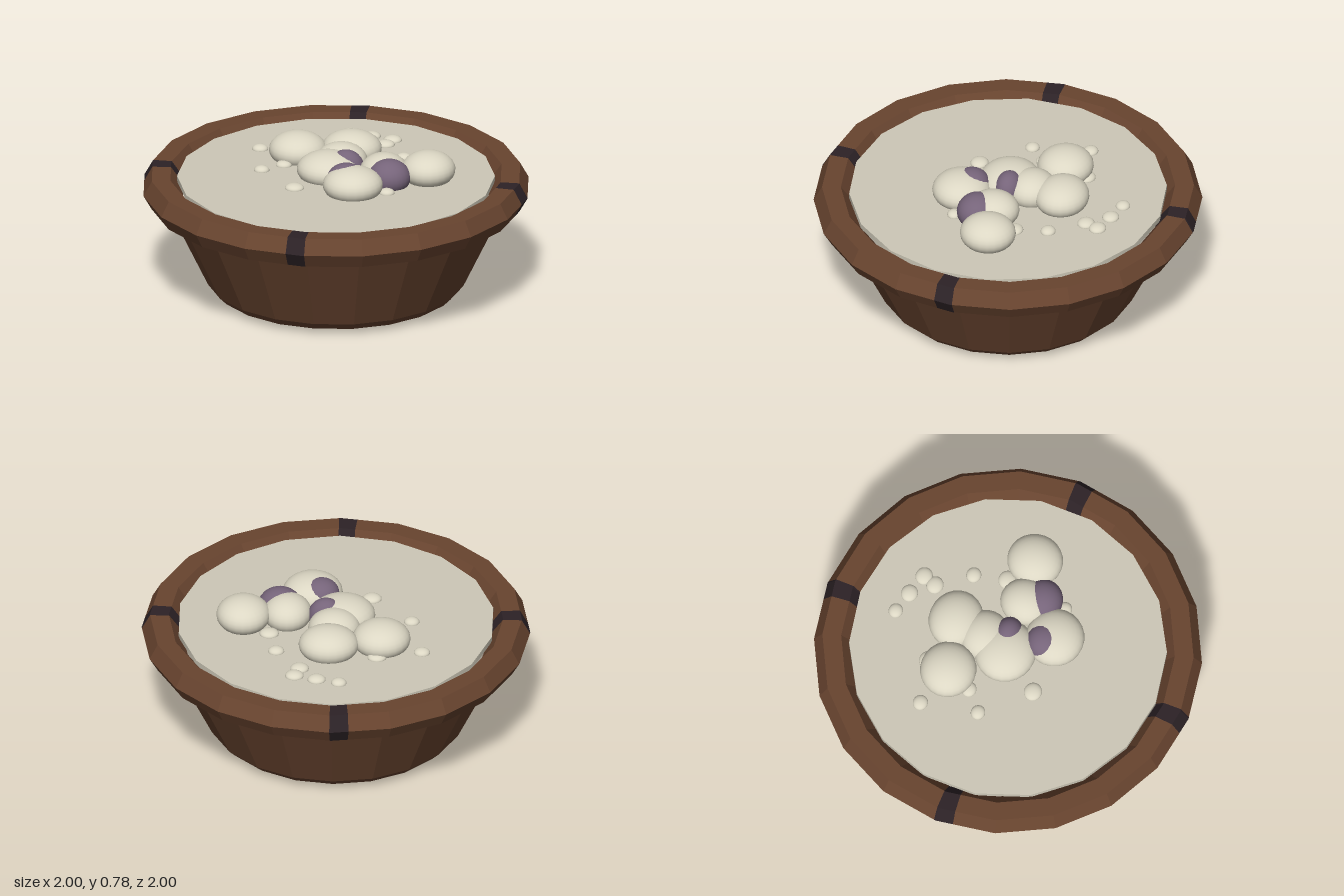
import * as THREE from 'three';

const SIDES = 20;
const wood = new THREE.MeshStandardMaterial({ color: 0x68442f });
const darkBand = new THREE.MeshStandardMaterial({ color: 0x2c2226 });
const broth = new THREE.MeshStandardMaterial({ color: 0xcdc8b7 });
const dough = new THREE.MeshStandardMaterial({ color: 0xdcd7c4 });
const purple = new THREE.MeshStandardMaterial({ color: 0x76647a });

// Point on the faceted outline; u counts polygon sides from +z towards +x
function outline(u, [r, y]) {
  const k = Math.floor(u), f = u - k, step = (Math.PI * 2) / SIDES;
  const mix = (fn) => fn(k * step) * (1 - f) + fn((k + 1) * step) * f;
  return [r * mix(Math.sin), y, r * mix(Math.cos)];
}

// Flat-shaded sweep of a profile from u0 to u1, cut at every polygon corner
function facetedSweep(profile, u0, u1) {
  const cuts = [u0];
  for (let k = Math.floor(u0) + 1; k < u1; k++) cuts.push(k);
  cuts.push(u1);
  const pos = [];
  for (let j = 0; j < cuts.length - 1; j++) {
    for (let i = 0; i < profile.length - 1; i++) {
      const a = outline(cuts[j], profile[i]), b = outline(cuts[j + 1], profile[i]);
      const c = outline(cuts[j + 1], profile[i + 1]), d = outline(cuts[j], profile[i + 1]);
      pos.push(...a, ...b, ...c, ...a, ...c, ...d);
    }
  }
  const g = new THREE.BufferGeometry();
  g.setAttribute('position', new THREE.Float32BufferAttribute(pos, 3));
  g.computeVertexNormals();
  return g;
}

export function createModel() {
  const model = new THREE.Group();
  const add = (name, geometry, material, parent = model) => {
    const mesh = new THREE.Mesh(geometry, material);
    mesh.name = name;
    parent.add(mesh);
    return mesh;
  };
  const addGroup = (name) => {
    const g = new THREE.Group();
    g.name = name;
    model.add(g);
    return g;
  };

  // Bowl body with rounded foot
  add('bowlBody', facetedSweep(
    [[0, 0], [0.56, 0], [0.625, 0.025], [0.665, 0.065], [0.87, 0.495]], 0, SIDES), wood);

  // Rim, alternating wood and four dark bands
  const rimProfile = [[0.86, 0.495], [0.957, 0.495], [1, 0.57], [0.957, 0.648], [0.86, 0.648], [0.795, 0.56]];
  const bands = [[-0.29, 0.03], [4.71, 5.03], [9.97, 10.29], [14.97, 15.29]];
  const rim = addGroup('rim');
  bands.forEach(([start, end], i) => {
    const next = i < 3 ? bands[i + 1][0] : bands[0][0] + SIDES;
    add('rimBand', facetedSweep(rimProfile, start, end), darkBand, rim);
    add('rimWood', facetedSweep(rimProfile, end, next), wood, rim);
  });

  // Broth filling the bowl
  const soup = new THREE.CylinderGeometry(0.818, 0.818, 0.03, 18);
  add('broth', soup, broth).position.y = 0.613;

  const ball = new THREE.SphereGeometry(1, 24, 16);
  const blob = (name, material, parent, x, y, z, rx, ry, rz) => {
    const m = add(name, ball, material, parent);
    m.position.set(x, y, z);
    m.scale.set(rx, ry, rz);
  };

  // Dumplings: x, z, radius x, radius z, top height
  const dumplings = addGroup('dumplings');
  [
    [-0.24, -0.235, 0.15, 0.145, 0.762],
    [0.03, -0.3, 0.155, 0.14, 0.763],
    [0.005, -0.13, 0.135, 0.13, 0.758],
    [-0.035, 0, 0.168, 0.16, 0.757],
    [0.25, 0, 0.125, 0.135, 0.765],
    [0.475, -0.04, 0.14, 0.145, 0.776],
    [0.125, 0.21, 0.155, 0.152, 0.762],
  ].forEach(([x, z, rx, rz, top]) => blob('dumpling', dough, dumplings, x, top - 0.093, z, rx, 0.093, rz));

  // Purple pieces showing through
  const pieces = addGroup('purplePieces');
  [
    [0.05, 0.672, -0.02, 0.093, 0.094, 0.075],
    [0.29, 0.672, 0.075, 0.112, 0.092, 0.105],
    [0.085, 0.685, 0.17, 0.1, 0.08, 0.095],
  ].forEach((p) => blob('purplePiece', purple, pieces, ...p));

  // Small bubbles on the broth: x, z, radius
  const bubbles = addGroup('bubbles');
  [
    [-0.03, -0.61, 0.04], [0.085, -0.58, 0.047], [0.2, -0.545, 0.048], [0.175, -0.475, 0.048],
    [0.3, -0.31, 0.042], [-0.45, -0.305, 0.042], [-0.39, -0.01, 0.04], [-0.18, 0.21, 0.05],
    [0.34, -0.14, 0.05], [0.3, 0.195, 0.04], [-0.22, -0.355, 0.05], [-0.29, -0.1, 0.042],
  ].forEach(([x, z, r]) => blob('bubble', dough, bubbles, x, 0.63, z, r, 0.024, r * 0.93));

  return model;
}
